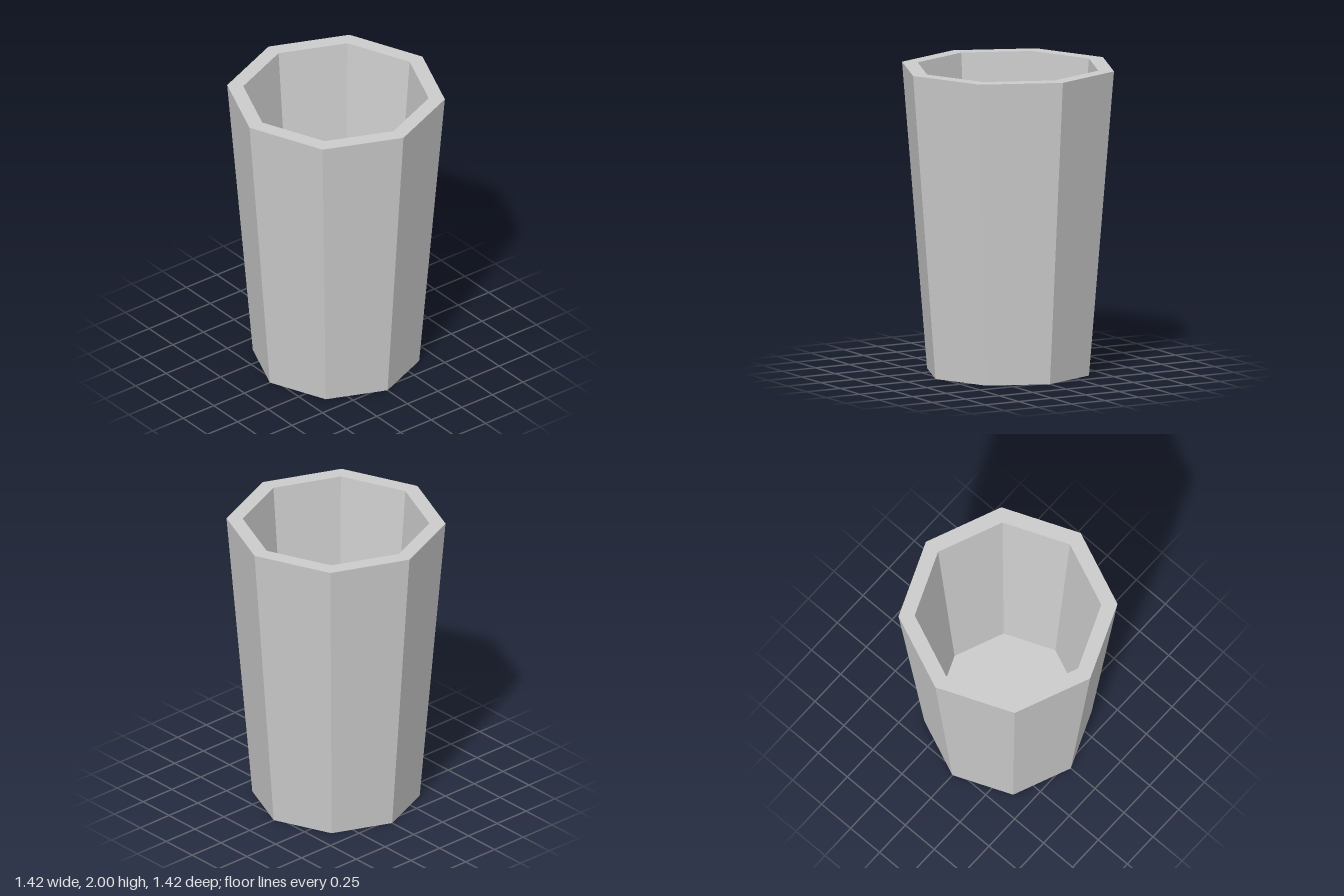
import * as THREE from 'three';

export function createModel() {
  const group = new THREE.Group();
  group.name = 'cup';

  const topRadius = 0.708, bottomRadius = 0.541, height = 2;
  const hollow = 0.852; // the hollow is a scaled copy of the outer body
  const floorY = height * (1 - hollow);

  // Closed profile: underside, outer wall, rim, inner wall, floor
  const profile = [
    [0, 0],
    [bottomRadius, 0],
    [topRadius, height],
    [topRadius * hollow, height],
    [bottomRadius * hollow, floorY],
    [0, floorY],
  ].map(([r, y]) => new THREE.Vector2(r, y));

  // Eight flat sides with corners on the axes
  const cup = new THREE.Mesh(
    new THREE.LatheGeometry(profile, 8),
    new THREE.MeshStandardMaterial({ color: 0xcccccc, flatShading: true })
  );
  cup.name = 'octagonalCup';
  group.add(cup);
  return group;
}
